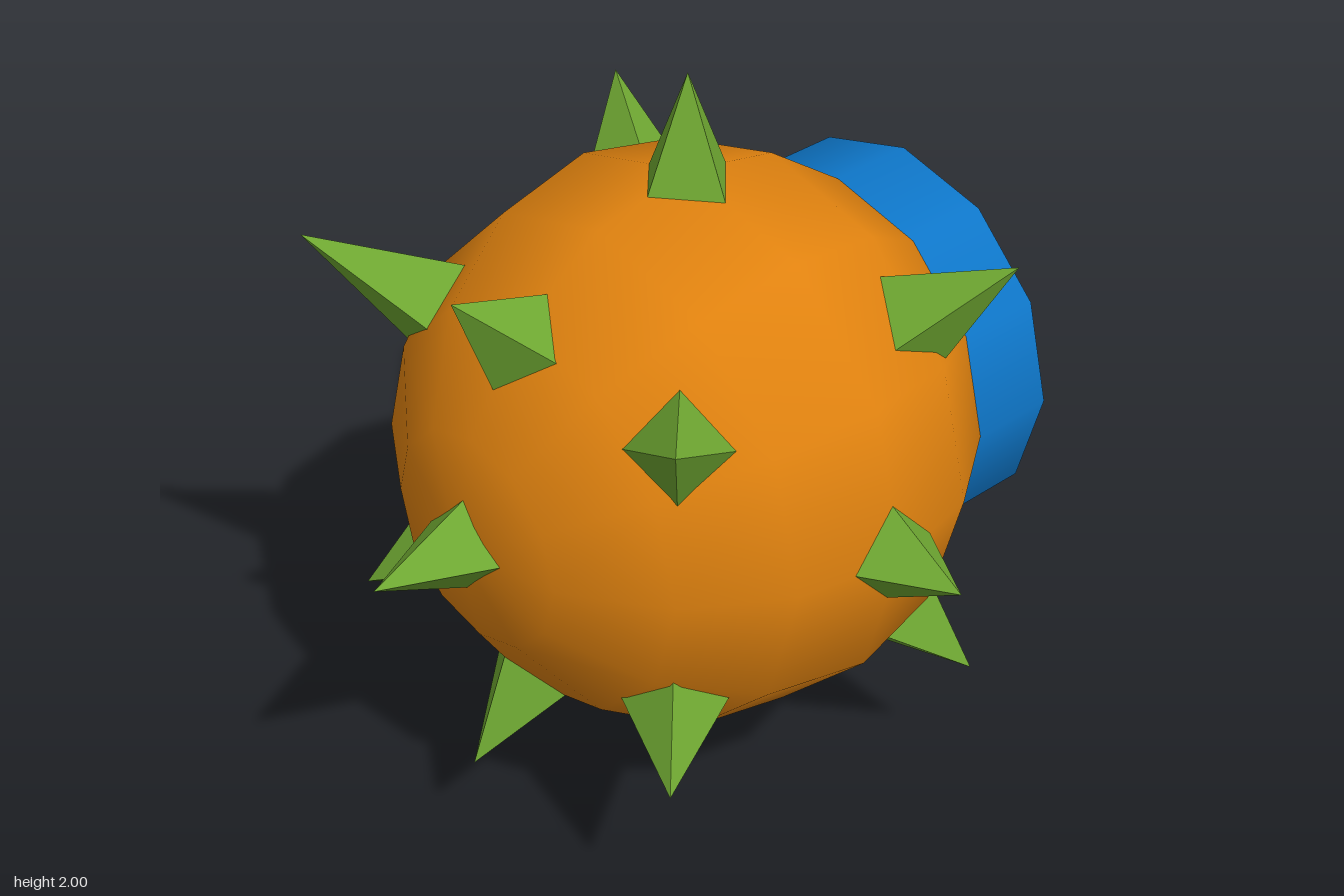
import * as THREE from 'three';

export function createModel() {
  const model = new THREE.Group();
  model.name = 'spikedBall';

  const mat = (name, color, flatShading = false) => {
    const m = new THREE.MeshStandardMaterial({ color, flatShading, side: THREE.DoubleSide });
    m.name = name;
    return m;
  };
  const orange = mat('orange', 0xe0820f);
  const blue = mat('blue', 0x0e76c8);
  const green = mat('green', 0x6fa832, true);

  const add = (parent, name, geometry, material) => {
    const mesh = new THREE.Mesh(geometry, material);
    mesh.name = name;
    parent.add(mesh);
    return mesh;
  };

  const ball = new THREE.Group();
  ball.name = 'ball';
  ball.position.set(0, 0.967, -0.115);
  model.add(ball);

  // Hollow shell, open at the back
  const R = 0.768, neckR = R * Math.SQRT1_2, backZ = -0.795;
  const shell = new THREE.SphereGeometry(R, 12, 6, 0, Math.PI * 2, 0, Math.PI * 0.75);
  shell.rotateX(Math.PI / 2);
  add(ball, 'shell', shell, orange);

  // Neck around the opening, with a flat rim closing it to a smaller hole
  const neckLength = -neckR - backZ;
  const wall = new THREE.CylinderGeometry(neckR, neckR, neckLength, 12, 1, true);
  wall.rotateX(Math.PI / 2);
  wall.translate(0, 0, -neckR - neckLength / 2);
  add(ball, 'neckWall', wall, blue);
  const rim = new THREE.RingGeometry(0.3, neckR, 12);
  rim.rotateY(Math.PI);
  rim.translate(0, 0, backZ);
  add(ball, 'neckRim', rim, blue);

  // Hollow four-sided spikes, their open bases reaching inside the shell
  const BASE = 0.65, SURFACE = 0.74, HALF = 0.133;
  const spike = (name, x, y, z, tip) => {
    const width = HALF * (tip - BASE) / (tip - SURFACE);
    const g = new THREE.ConeGeometry(width, tip - BASE, 4, 1, true);
    g.translate(0, (tip + BASE) / 2, 0);
    const dir = new THREE.Vector3(x, y, z).normalize();
    const up = Math.abs(dir.y) > 0.99 ? new THREE.Vector3(0, 0, 1) : new THREE.Vector3(0, 1, 0);
    const side = new THREE.Vector3().crossVectors(up, dir).normalize();
    const third = new THREE.Vector3().crossVectors(side, dir);
    g.applyMatrix4(new THREE.Matrix4().makeBasis(side, dir, third));
    add(ball, name, g, green);
  };

  spike('topSpike', 0, 1, 0, 1.033);
  spike('bottomSpike', 0, -1, 0, 0.965);
  spike('frontSpike', 0, 0, 1, 1.025);
  spike('upperFrontSpike', 0, 0.69, 0.75, 1.02);
  spike('lowerFrontSpike', 0, -0.7, 0.745, 1.022);
  for (const s of [1, -1]) {
    const n = s > 0 ? 'left' : 'right';
    spike(n + 'Spike', s, 0, 0, 0.965);
    spike(n + 'UpperFrontSpike', s * 0.613, 0.503, 0.61, s > 0 ? 1.03 : 1.12);
    spike(n + 'LowerFrontSpike', s * 0.6, -0.51, 0.61, 1.0);
    spike(n + 'UpperBackSpike', s * 0.688, 0.606, -0.396, 1.05);
    spike(n + 'LowerBackSpike', s * 0.69, -0.597, -0.396, 0.995);
  }
  return model;
}
